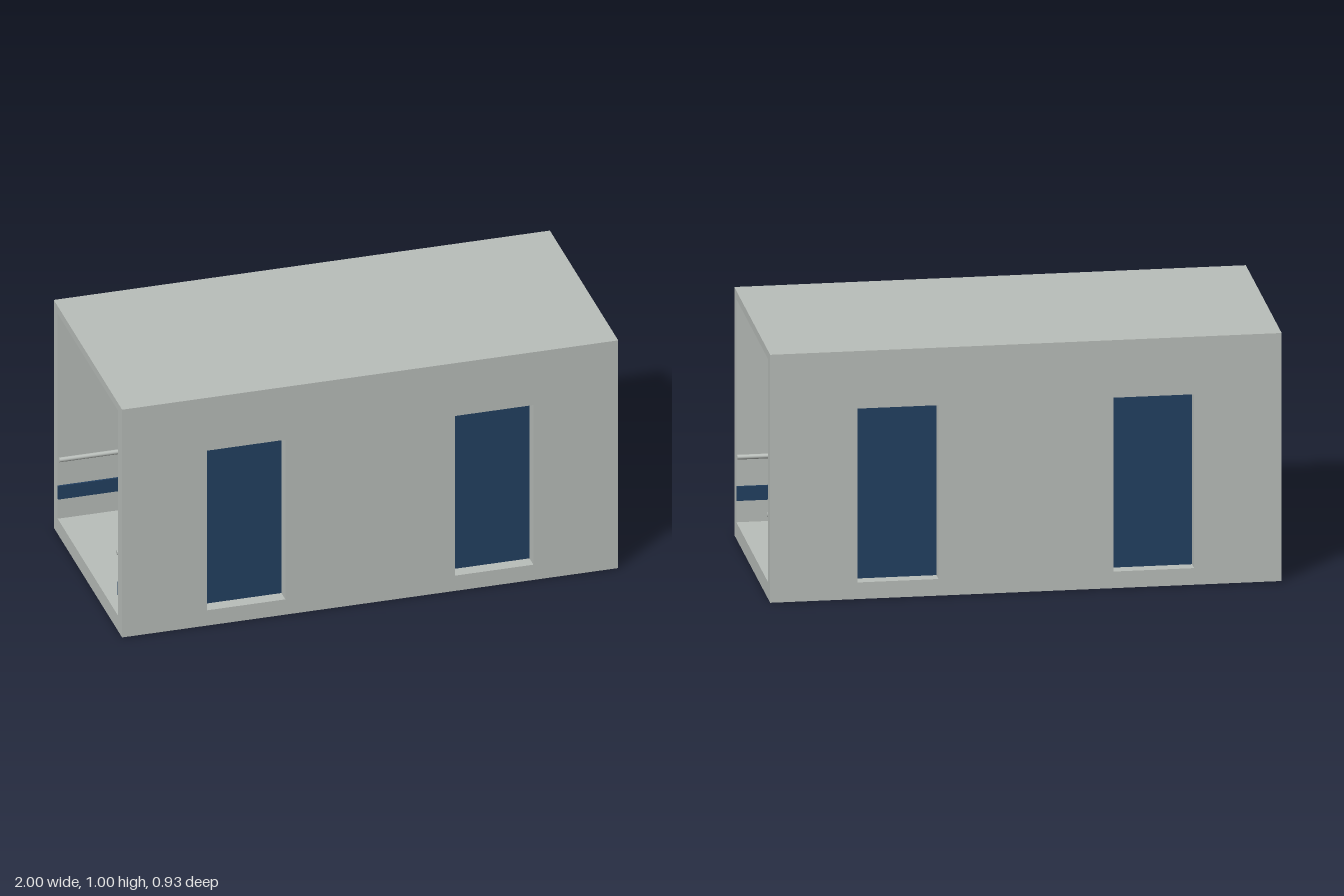
import * as THREE from 'three';

const concrete = new THREE.MeshStandardMaterial({ color: 0xb9beba });
concrete.name = 'pale grey';
const blue = new THREE.MeshStandardMaterial({ color: 0x224061 });
blue.name = 'dark blue';

// Box given by its limits on each axis
function box(name, material, [x0, x1], [y0, y1], [z0, z1]) {
  const mesh = new THREE.Mesh(new THREE.BoxGeometry(x1 - x0, y1 - y0, z1 - z0), material);
  mesh.position.set((x0 + x1) / 2, (y0 + y1) / 2, (z0 + z1) / 2);
  mesh.name = name;
  return mesh;
}

const FLOOR = 0.067, CEILING = 0.967, OUTER = 0.467, INNER = 0.413;
const DOOR_TOP = 0.768;
const DOORS = [[-0.658, -0.342], [0.342, 0.658]];
const BAYS = [[-1, -0.658], [-0.342, 0.342], [0.658, 1]];

// Long wall with two door openings
function wallGeometry() {
  const shape = new THREE.Shape();
  shape.moveTo(-1, FLOOR);
  for (const [a, b] of DOORS) {
    shape.lineTo(a, FLOOR);
    shape.lineTo(a, DOOR_TOP);
    shape.lineTo(b, DOOR_TOP);
    shape.lineTo(b, FLOOR);
  }
  shape.lineTo(1, FLOOR);
  shape.lineTo(1, CEILING);
  shape.lineTo(-1, CEILING);
  shape.closePath();
  return new THREE.ExtrudeGeometry(shape, { depth: OUTER - INNER, bevelEnabled: false });
}

// One side of the corridor, facing +z
function createSide(name) {
  const side = new THREE.Group();
  side.name = name;

  const wall = new THREE.Mesh(wallGeometry(), concrete);
  wall.position.z = INNER;
  wall.name = 'wall';
  side.add(wall);

  // Doors flush against the inside face
  for (const span of DOORS) {
    side.add(box('door', blue, span, [FLOOR, DOOR_TOP], [0.407, INNER]));
  }

  // Bumper strip and handrail on each wall bay
  for (const [a, b] of BAYS) {
    side.add(box('bumperStrip', blue, [a, b], [0.155, 0.213], [0.405, INNER]));
    const rail = new THREE.Mesh(new THREE.CylinderGeometry(0.0095, 0.0095, b - a, 20), concrete);
    rail.rotation.z = Math.PI / 2;
    rail.position.set((a + b) / 2, 0.335, 0.394);
    rail.name = 'handrail';
    side.add(rail);
  }
  return side;
}

export function createModel() {
  const model = new THREE.Group();
  model.name = 'corridor';

  model.add(box('floor', concrete, [-1, 1], [0, FLOOR], [-OUTER, OUTER]));
  model.add(box('roof', concrete, [-1, 1], [CEILING, 1], [-OUTER, OUTER]));
  model.add(box('ceilingLight', concrete, [-0.82, 0.82], [0.958, CEILING], [-0.058, 0.058]));

  const front = createSide('frontSide');
  const back = createSide('backSide');
  back.rotation.y = Math.PI;
  model.add(front, back);
  return model;
}
